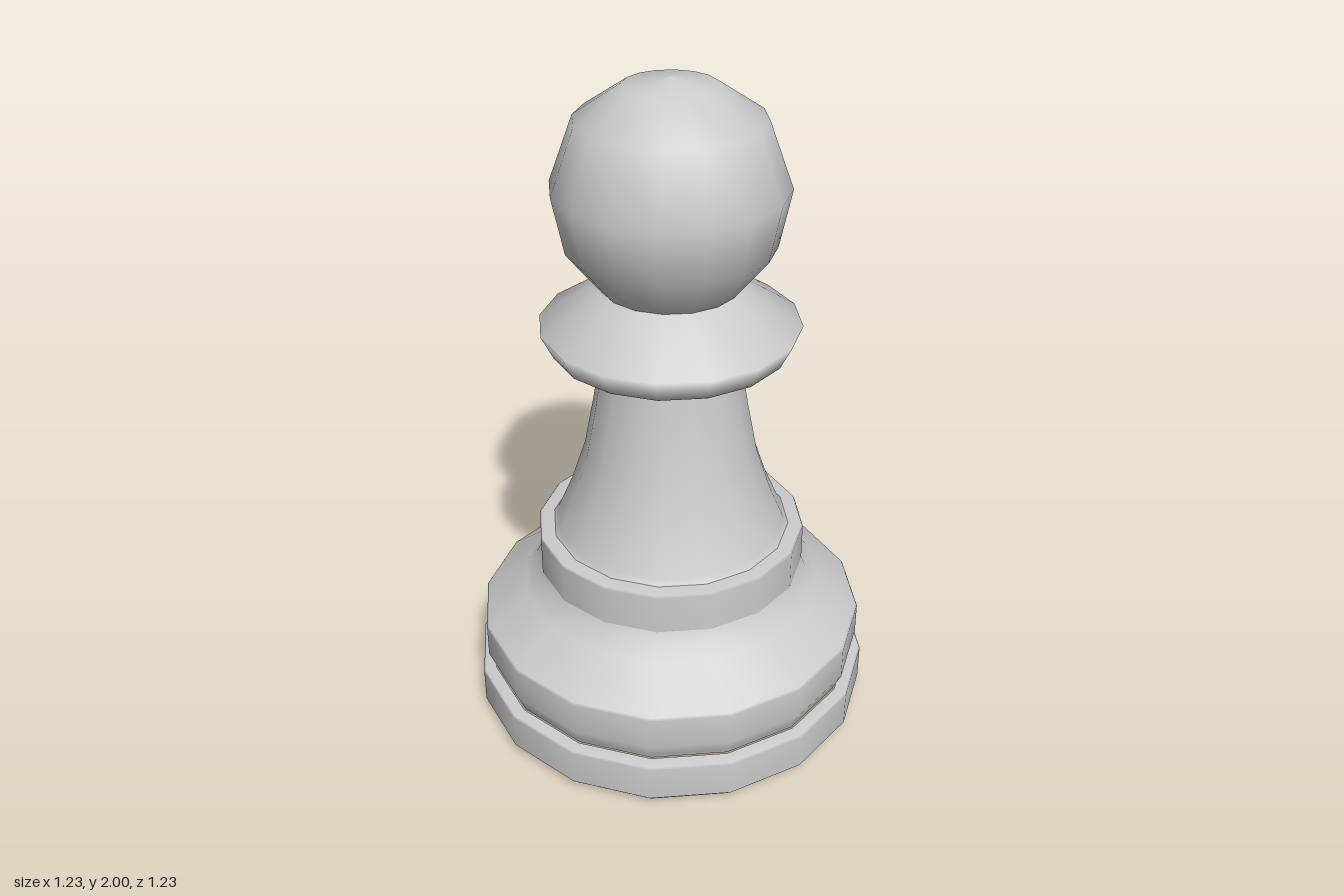
import * as THREE from 'three';

const SIDES = 16;
const material = new THREE.MeshStandardMaterial({ color: 0xcccccc });

// Each part is a turned profile of [radius, height] points, listed from bottom to top.
// Separate profiles keep the edges between them sharp.
const PARTS = {
  underside: [[0, 0], [0.585, 0]],
  foot: [[0.585, 0], [0.585, 0.022], [0.61, 0.026], [0.615, 0.032], [0.615, 0.14], [0.61, 0.146], [0.575, 0.15]],
  base: [[0.57, 0.15], [0.575, 0.165], [0.595, 0.21], [0.595, 0.31], [0.59, 0.318], [0.46, 0.415], [0.425, 0.455], [0.41, 0.485]],
  drum: [[0.41, 0.485], [0.41, 0.605], [0.405, 0.612], [0.35, 0.614]],
  stem: [[0.365, 0.612], [0.35, 0.63], [0.305, 0.735], [0.26, 0.87], [0.23, 1.025], [0.212, 1.13], [0.205, 1.195]],
  collar: [[0.195, 1.19], [0.21, 1.192], [0.345, 1.22], [0.38, 1.29], [0.205, 1.405], [0.19, 1.412]],
  head: [[0.2, 1.405], [0.3, 1.53], [0.335, 1.7], [0.265, 1.89], [0.13, 1.98], [0, 2]],
};

export function createModel() {
  const pawn = new THREE.Group();
  pawn.name = 'pawn';
  for (const [name, profile] of Object.entries(PARTS)) {
    const points = profile.map(([r, y]) => new THREE.Vector2(r, y));
    const mesh = new THREE.Mesh(new THREE.LatheGeometry(points, SIDES), material);
    mesh.name = name;
    pawn.add(mesh);
  }
  return pawn;
}
